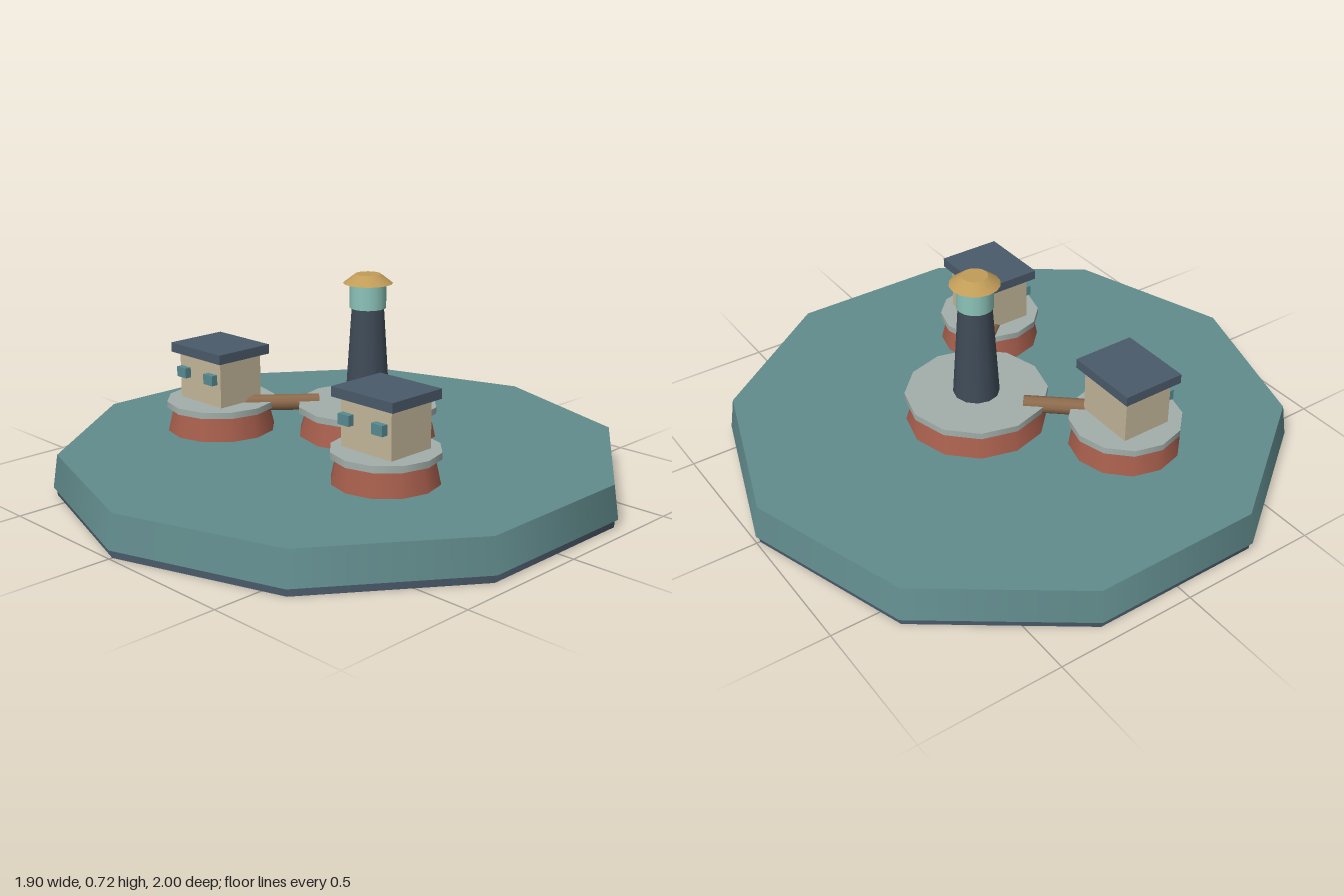
import * as THREE from 'three';

const mat = (name, color) => Object.assign(new THREE.MeshStandardMaterial({ color }), { name });

export function createModel() {
  const teal = mat('sea teal', 0x628c8d);
  const slate = mat('slate', 0x4a5a6a);
  const darkSlate = mat('dark slate', 0x3f4b58);
  const brick = mat('brick red', 0xa45d4b);
  const stone = mat('pale stone', 0xa3afab);
  const mint = mat('lantern mint', 0x8cc4ba);
  const gold = mat('gold', 0xc19c58);
  const cream = mat('cream', 0xc2b598);
  const wood = mat('wood', 0x8c6a4c);
  const glass = mat('window glass', 0x578a90);

  const model = new THREE.Group();
  model.name = 'harborPlatform';

  const add = (parent, name, geometry, material, x, y, z) => {
    const mesh = new THREE.Mesh(geometry, material);
    mesh.name = name;
    mesh.position.set(x, y, z);
    parent.add(mesh);
    return mesh;
  };
  // Tapered cylinder standing between heights y0 and y1
  const drum = (parent, name, material, rBottom, rTop, y0, y1, sides, x = 0, z = 0) =>
    add(parent, name, new THREE.CylinderGeometry(rTop, rBottom, y1 - y0, sides), material, x, (y0 + y1) / 2, z);
  // Box standing between heights y0 and y1
  const block = (parent, name, material, w, d, y0, y1, x = 0, z = 0) =>
    add(parent, name, new THREE.BoxGeometry(w, y1 - y0, d), material, x, (y0 + y1) / 2, z);

  // Ten-sided water slab on its keel plate
  drum(model, 'keelPlate', slate, 0.988, 0.988, 0, 0.03, 10);
  drum(model, 'waterSlab', teal, 1, 0.982, 0.028, 0.145, 10);

  // Round island: brick foundation with a thin deck
  const island = (name, r, x, z) => {
    const group = new THREE.Group();
    group.name = name;
    group.position.set(x, 0, z);
    drum(group, 'foundation', brick, r * 0.99, r * 0.88, 0.152, 0.24, 12);
    drum(group, 'deck', stone, r, r, 0.237, 0.26, 12);
    model.add(group);
    return group;
  };

  // Lighthouse
  const light = island('lighthouseIsland', 0.25, 0, -0.13);
  drum(light, 'tower', darkSlate, 0.081, 0.058, 0.26, 0.607, 12);
  drum(light, 'lantern', mint, 0.064, 0.064, 0.605, 0.692, 16);
  drum(light, 'lanternCap', gold, 0.087, 0.045, 0.692, 0.724, 16);

  // Cabins on the two smaller islands, with front windows
  for (const [name, r, x, z] of [['rightCabinIsland', 0.195, -0.411, 0.202], ['leftCabinIsland', 0.184, 0.396, 0.195]]) {
    const group = island(name, r, x, z);
    block(group, 'cabinWalls', cream, 0.22, 0.185, 0.262, 0.43);
    block(group, 'cabinRoof', slate, 0.267, 0.228, 0.427, 0.461);
    for (const s of [-1, 1]) {
      block(group, 'window', glass, 0.048, 0.026, 0.343, 0.379, s * 0.073 - 0.005, 0.103);
    }
  }

  // Round timber gangways from the lighthouse deck to the cabins
  for (const s of [-1, 1]) {
    const start = new THREE.Vector3(s * 0.148, 0.251, -0.034);
    const end = new THREE.Vector3(s * 0.33, 0.251, 0.176);
    const dir = end.clone().sub(start);
    const mid = start.clone().add(end).multiplyScalar(0.5);
    const beam = add(model, s < 0 ? 'rightGangway' : 'leftGangway',
      new THREE.CylinderGeometry(0.029, 0.029, dir.length(), 10), wood, mid.x, mid.y, mid.z);
    beam.quaternion.setFromUnitVectors(new THREE.Vector3(0, 1, 0), dir.normalize());
  }

  return model;
}
